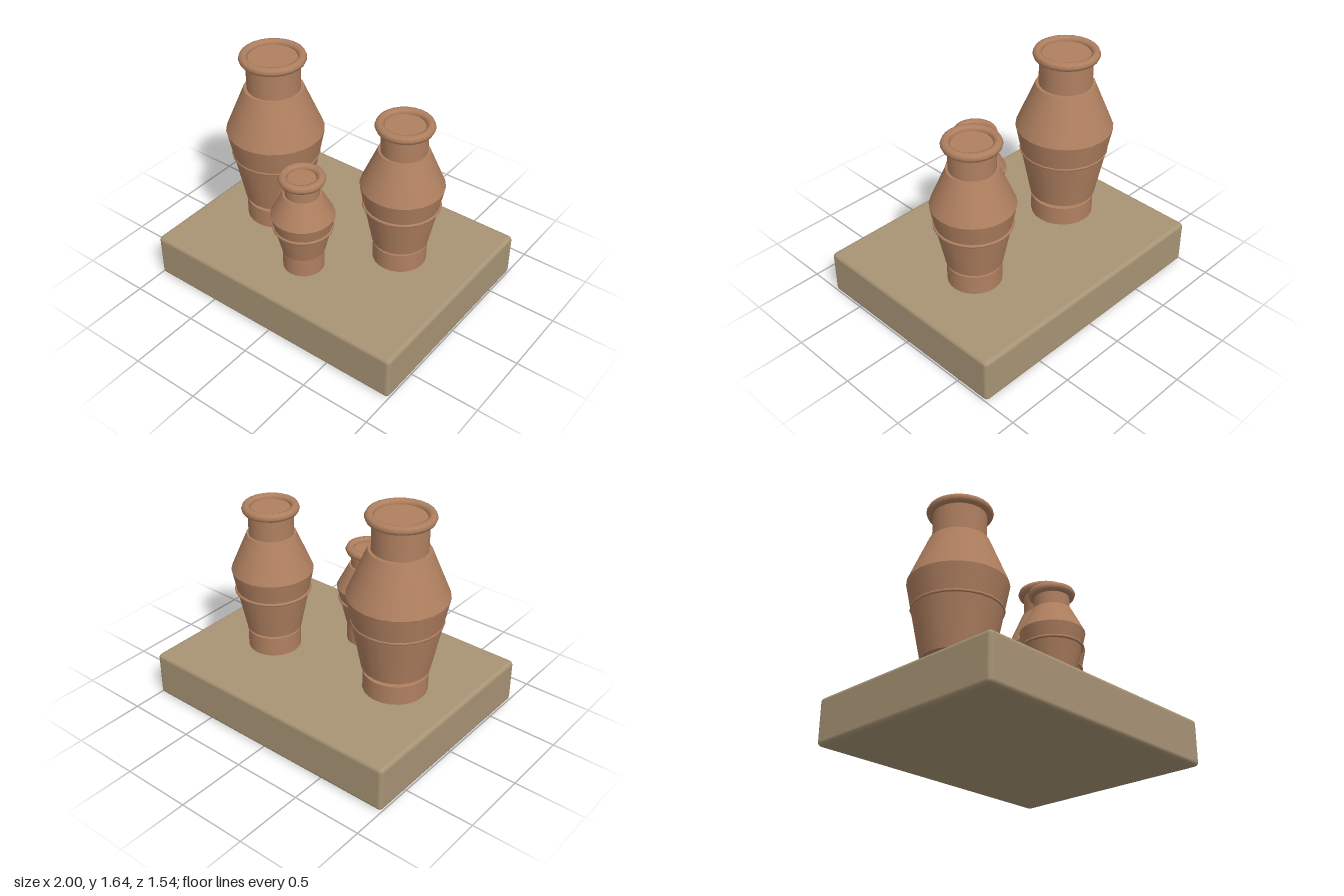
import * as THREE from 'three';
import { RoundedBoxGeometry } from 'three/addons/geometries/RoundedBoxGeometry.js';

const SIDES = 24;
const BASE_TOP = 0.33;

export function createModel() {
  const clay = new THREE.MeshStandardMaterial({ color: 0xb08060 });
  clay.name = 'terracotta';
  const stone = new THREE.MeshStandardMaterial({ color: 0xa89475 });
  stone.name = 'stone';

  const model = new THREE.Group();
  model.name = 'jarsOnPlinth';

  const add = (parent, name, geometry, material, y) => {
    const mesh = new THREE.Mesh(geometry, material);
    mesh.name = name;
    mesh.position.y = y;
    parent.add(mesh);
    return mesh;
  };

  // Tapered drum between two heights
  const drum = (parent, name, y0, r0, y1, r1) =>
    add(parent, name, new THREE.CylinderGeometry(r1, r0, y1 - y0, SIDES), clay, (y0 + y1) / 2);

  // Horizontal ring
  const ring = (parent, name, y, radius, tube) => {
    const geometry = new THREE.TorusGeometry(radius, tube, 8, SIDES);
    geometry.rotateX(Math.PI / 2);
    return add(parent, name, geometry, clay, y);
  };

  // Plinth with softened edges
  add(model, 'plinth', new RoundedBoxGeometry(2, BASE_TOP, 1.54, 2, 0.03), stone, BASE_TOP / 2);

  // Each pair is [height, radius]; the foot stands clear of the body
  const jars = [
    { name: 'largeJar', x: -0.527, z: 0, foot: [0.47, 0.224], bottom: [0.503, 0.234], belly: [1.05, 0.343],
      shoulder: [1.38, 0.206], neck: [1.605, 0.185], lip: [0.199, 0.031], band: [0.862, 0.302] },
    { name: 'mediumJar', x: 0.466, z: -0.115, foot: [0.47, 0.187], bottom: [0.49, 0.194], belly: [0.945, 0.286],
      shoulder: [1.217, 0.17], neck: [1.402, 0.155], lip: [0.166, 0.031], band: [0.788, 0.258] },
    { name: 'smallJar', x: -0.004, z: 0.357, foot: [0.47, 0.143], bottom: [0.475, 0.149], belly: [0.765, 0.218],
      shoulder: [0.935, 0.131], neck: [1.053, 0.118], lip: [0.127, 0.031], band: [0.663, 0.196] },
  ];

  for (const j of jars) {
    const jar = new THREE.Group();
    jar.name = j.name;
    jar.position.set(j.x, 0, j.z);
    drum(jar, 'foot', BASE_TOP, j.foot[1], ...j.foot);
    drum(jar, 'lowerBody', ...j.bottom, ...j.belly);
    drum(jar, 'upperBody', ...j.belly, ...j.shoulder);
    drum(jar, 'neck', j.shoulder[0], j.neck[1], ...j.neck);
    ring(jar, 'lip', j.neck[0], ...j.lip);
    ring(jar, 'band', ...j.band, 0.011);
    model.add(jar);
  }
  return model;
}
